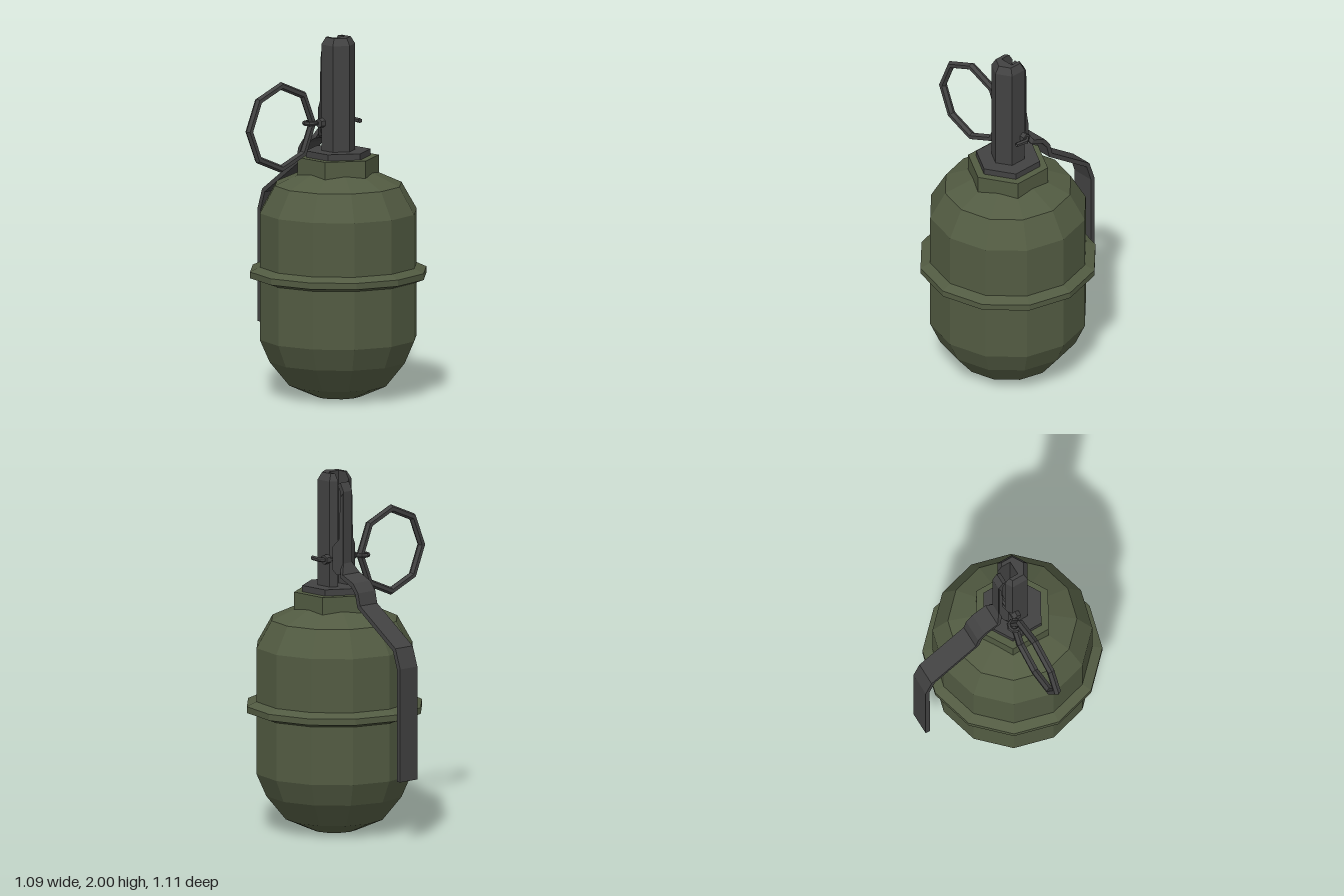
import * as THREE from 'three';

const CX = 0.05, CZ = -0.06; // axis of the body
const material = (color, side = THREE.FrontSide) =>
  new THREE.MeshStandardMaterial({ color, side, flatShading: true, roughness: 0.8 });
const olive = material(0x525b42);
const metal = material(0x424242);
const metalThin = material(0x424242, THREE.DoubleSide);

function add(group, name, geometry, mat, x = 0, y = 0, z = 0) {
  const mesh = new THREE.Mesh(geometry, mat);
  mesh.name = name;
  mesh.position.set(x, y, z);
  group.add(mesh);
  return mesh;
}

const lathe = (pts, sides) => new THREE.LatheGeometry(pts.map(p => new THREE.Vector2(...p)), sides);

// Hexagonal prism with corners on the x axis
function hexPrism(r, y0, y1) {
  return new THREE.CylinderGeometry(r, r, y1 - y0, 6).rotateY(Math.PI / 2).translate(0, (y0 + y1) / 2, 0);
}

// Hexagon (x, z) with a slot cut into its -x corner
function slottedHex(r) {
  const h = 0.04, s = r * Math.sqrt(3) / 2, edge = -r + h / Math.sqrt(3);
  return [[r, 0], [r / 2, s], [-r / 2, s], [edge, h], [0.01, h],
    [0.01, -h], [edge, -h], [-r / 2, -s], [r / 2, -s]];
}

// Stem lofted through slotted hexagons, with a chamfered top
function stemGeometry() {
  const rings = [[0.095, 1.36], [0.095, 1.96], [0.07, 2]];
  const pos = [], index = [];
  for (const [r, y] of rings) for (const [x, z] of slottedHex(r)) pos.push(x, y, z);
  const n = 9;
  for (let k = 0; k < rings.length - 1; k++) {
    for (let i = 0; i < n; i++) {
      const a = k * n + i, b = k * n + (i + 1) % n;
      index.push(a, a + n, b, b, a + n, b + n);
    }
  }
  const top = slottedHex(0.07).map(p => new THREE.Vector2(...p));
  for (const [a, b, c] of THREE.ShapeUtils.triangulateShape(top, [])) {
    index.push(2 * n + a, 2 * n + c, 2 * n + b);
  }
  const g = new THREE.BufferGeometry();
  g.setAttribute('position', new THREE.Float32BufferAttribute(pos, 3));
  g.setIndex(index);
  g.computeVertexNormals();
  return g;
}

// Bent strip: a polyline thickened in its plane and extruded in z
function stripGeometry(path, thickness, width) {
  const pts = path.map(p => new THREE.Vector2(...p));
  const sides = [1, -1].map(sign => pts.map((p, i) => {
    const a = pts[Math.max(i - 1, 0)], b = pts[Math.min(i + 1, pts.length - 1)];
    const d1 = p.clone().sub(a).normalize(), d2 = b.clone().sub(p).normalize();
    const t = d1.add(d2).normalize();
    return new THREE.Vector2(p.x - t.y * sign * thickness / 2, p.y + t.x * sign * thickness / 2);
  }));
  const shape = new THREE.Shape([...sides[0], ...sides[1].reverse()]);
  return new THREE.ExtrudeGeometry(shape, { depth: width, bevelEnabled: false }).translate(0, 0, -width / 2);
}

function tube(points, r, segments) {
  const path = new THREE.CurvePath();
  const v = points.map(p => new THREE.Vector3(...p));
  for (let i = 0; i < v.length - 1; i++) path.add(new THREE.LineCurve3(v[i], v[i + 1]));
  return new THREE.TubeGeometry(path, segments, r, 6);
}

export function createModel() {
  const model = new THREE.Group();
  model.name = 'grenade';

  // Twelve-sided shell and its raised band
  add(model, 'body', lathe([[0, 0], [0.125, 0], [0.275, 0.065], [0.385, 0.2], [0.44, 0.325],
    [0.44, 1.03], [0.355, 1.18], [0.2, 1.25], [0, 1.25]], 12), olive, CX, 0, CZ);
  add(model, 'band', lathe([[0.43, 0.65], [0.44, 0.65], [0.495, 0.67], [0.495, 0.705],
    [0.44, 0.73], [0.43, 0.73]], 12), olive, CX, 0, CZ);

  // Neck and fuse stem
  add(model, 'neck', hexPrism(0.228, 1.15, 1.335), olive, CX, 0, CZ);
  add(model, 'neckCap', hexPrism(0.182, 1.33, 1.37), metal, CX, 0, CZ);
  add(model, 'stem', stemGeometry(), metal, CX, 0, CZ);

  // Safety lever, narrowing where it runs up the stem
  const lever = new THREE.Group();
  lever.name = 'safetyLever';
  lever.position.z = CZ;
  model.add(lever);
  const strip = stripGeometry([[-0.532, 0.35], [-0.532, 0.98], [-0.497, 1.085], [-0.213, 1.285],
    [-0.196, 1.355], [-0.16, 1.4], [-0.075, 1.437], [-0.045, 1.5], [-0.045, 1.9], [-0.02, 1.945]], 0.026, 0.13);
  const p = strip.attributes.position;
  for (let i = 0; i < p.count; i++) if (p.getY(i) > 1.47) p.setZ(i, p.getZ(i) * 0.5);
  strip.computeVertexNormals();
  add(lever, 'leverStrip', strip, metal);

  // Wings folded along the slanted faces of the stem
  for (const s of [1, -1]) {
    const outline = [[0, 1.9], [0.02, 1.87], [0.025, 1.64], [0.062, 1.6], [0.062, 1.47], [0.04, 1.44], [0, 1.44]];
    const wing = new THREE.ShapeGeometry(new THREE.Shape(outline.map(q => new THREE.Vector2(...q))));
    wing.rotateY(-s * Math.PI / 3);
    add(lever, s > 0 ? 'frontWing' : 'backWing', wing, metalThin, -0.055, 0, s * 0.03);
  }

  // Safety pin with its eye, bosses and bent end
  const pin = new THREE.Group();
  pin.name = 'safetyPin';
  pin.position.y = 1.525;
  model.add(pin);
  for (const z of [0.035, -0.155]) {
    add(pin, 'pinBoss', new THREE.CylinderGeometry(0.027, 0.027, 0.035, 6).rotateX(Math.PI / 2), metal, 0.015, 0, z);
  }
  add(pin, 'pinShaft', tube([[0, 0, 0.06], [0, 0, -0.15], [0.03, 0, -0.19], [0.1, 0, -0.178]], 0.013, 24), metalThin);
  add(pin, 'pinEye', new THREE.TorusGeometry(0.032, 0.013, 6, 8).rotateX(Math.PI / 2), metal, -0.022, 0, 0.083);

  // Octagonal pull ring hanging from the eye
  add(model, 'pullRing', new THREE.TorusGeometry(0.231, 0.022, 6, 8).rotateY(Math.PI / 2), metal, -0.02, 1.525, 0.3);

  return model;
}
